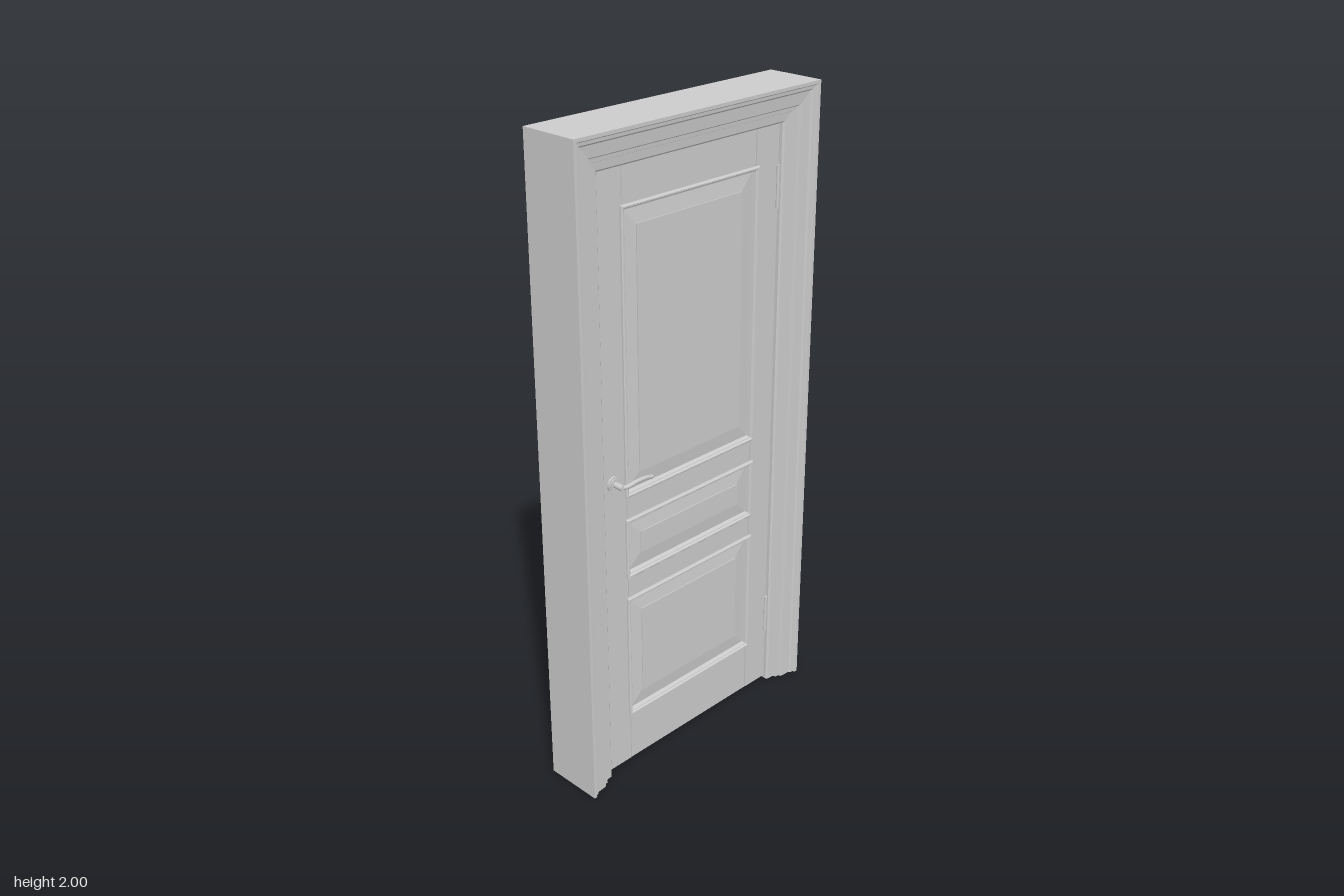
import * as THREE from 'three';

const grey = new THREE.MeshStandardMaterial({ color: 0xcccccc });
const greyDouble = new THREE.MeshStandardMaterial({ color: 0xcccccc, side: THREE.DoubleSide });
const HALF_W = 0.465, HEIGHT = 2;
const DOOR_X = 0.0125, DOOR_T = 0.055; // leaf centre and thickness

// Mitred sweep: cornersAt(u) gives the [z, y] corners inset by u; profile is [u, x] points
function mitredSweep(cornersAt, profile, closedPath) {
  const rows = profile.map(([u, x]) => cornersAt(u).map(([z, y]) => [x, y, z]));
  const pos = [];
  const n = rows[0].length, segs = closedPath ? n : n - 1;
  for (let j = 0; j < rows.length - 1; j++) {
    for (let i = 0; i < segs; i++) {
      const k = (i + 1) % n;
      const a = rows[j][i], b = rows[j][k], c = rows[j + 1][k], d = rows[j + 1][i];
      pos.push(...a, ...d, ...c, ...a, ...c, ...b);
    }
  }
  const g = new THREE.BufferGeometry();
  g.setAttribute('position', new THREE.Float32BufferAttribute(pos, 3));
  g.computeVertexNormals();
  return g;
}

function add(parent, name, geometry, x = 0, y = 0, z = 0, material = grey) {
  const m = new THREE.Mesh(geometry, material);
  m.name = name;
  m.position.set(x, y, z);
  parent.add(m);
  return m;
}

// Box given by its y and z ranges, centred on the leaf
function slab(parent, name, t, y0, y1, z0, z1) {
  return add(parent, name, new THREE.BoxGeometry(t, y1 - y0, z1 - z0), DOOR_X, (y0 + y1) / 2, (z0 + z1) / 2);
}

function buildFrame() {
  const frame = new THREE.Group();
  frame.name = 'doorFrame';
  // Stepped architrave, the same on both faces, joined by the jamb lining
  const half = [[0, 0.094], [0.01, 0.094], [0.014, 0.087], [0.023, 0.086], [0.028, 0.08],
    [0.062, 0.077], [0.067, 0.068], [0.078, 0.067], [0.082, 0.057], [0.105, 0.055], [0.11, 0.05]];
  const back = half.map(([u, x]) => [u, -x]).reverse();
  const profile = [...half, ...back, half[0]];
  const corners = (u) => {
    const z = HALF_W - u, y = HEIGHT - u;
    return [[z, 0], [z, y], [-z, y], [-z, 0]];
  };
  add(frame, 'architraveAndJamb', mitredSweep(corners, profile, false));

  // Feet of the two jambs
  const shape = new THREE.Shape(profile.slice(0, -1).map(([u, x]) => new THREE.Vector2(u, x)));
  for (const s of [1, -1]) {
    const g = new THREE.ShapeGeometry(shape);
    const p = g.attributes.position;
    for (let i = 0; i < p.count; i++) p.setXYZ(i, p.getY(i), 0, s * (HALF_W - p.getX(i)));
    g.computeVertexNormals();
    add(frame, 'jambFoot', g, 0, 0, 0, greyDouble);
  }
  return frame;
}

function buildPanel(y0, y1) {
  const panel = new THREE.Group();
  panel.name = 'doorPanel';
  const f = DOOR_T / 2, w = 0.268;
  // Raised bolection moulding, then a shallow slope up to the field
  const profile = [[0, f - 0.004], [0, f + 0.006], [0.003, f + 0.009], [0.007, f + 0.009], [0.01, f + 0.004],
    [0.013, f + 0.003], [0.016, f - 0.009], [0.062, f - 0.004], [0.062, f - 0.001]];
  const corners = (u) => [[w - u, y0 + u], [w - u, y1 - u], [u - w, y1 - u], [u - w, y0 + u]];
  for (const s of [1, -1]) {
    const m = add(panel, 'panelMoulding', mitredSweep(corners, profile, true), DOOR_X);
    if (s < 0) m.rotation.y = Math.PI;
  }
  slab(panel, 'panelField', DOOR_T - 0.002, y0 + 0.062, y1 - 0.062, -0.206, 0.206);
  return panel;
}

function buildLeaf() {
  const leaf = new THREE.Group();
  leaf.name = 'doorLeaf';
  for (const s of [1, -1]) {
    slab(leaf, 'stile', DOOR_T, 0.01, 1.888, Math.min(s * 0.262, s * 0.354), Math.max(s * 0.262, s * 0.354));
  }
  // Rails sit a hair behind the stiles, with a fine groove at the joint
  for (const [y0, y1] of [[0.01, 0.185], [0.58, 0.672], [0.845, 0.937], [1.77, 1.888]]) {
    slab(leaf, 'rail', DOOR_T - 0.002, y0, y1, -0.258, 0.258);
    slab(leaf, 'railTongue', DOOR_T - 0.01, y0, y1, -0.263, 0.263);
  }
  for (const [y0, y1] of [[0.175, 0.592], [0.662, 0.855], [0.927, 1.782]]) leaf.add(buildPanel(y0, y1));
  return leaf;
}

// Lever handle on one face; s is the side
function buildHandle(s) {
  const handle = new THREE.Group();
  handle.name = 'leverHandle';
  const z = 0.312, y = 0.99;
  const rod = (name, r, x0, x1) => {
    const g = new THREE.CylinderGeometry(r, r, x1 - x0, 24);
    add(handle, name, g, s * (x0 + x1) / 2, y, z).rotation.z = Math.PI / 2;
  };
  rod('rosette', 0.023, 0, 0.007);
  rod('rosetteRim', 0.018, 0.007, 0.01);
  rod('neck', 0.009, 0.01, 0.042);
  const path = new THREE.CatmullRomCurve3([[0.036, 0, 0], [0.043, 0.001, -0.015], [0.044, 0.005, -0.05],
    [0.043, 0.003, -0.085], [0.04, -0.004, -0.112]].map(([a, b, c]) => new THREE.Vector3(s * a, y + b, z + c)));
  add(handle, 'lever', new THREE.TubeGeometry(path, 24, 0.0065, 10));
  for (const t of [0, 1]) {
    const p = path.getPoint(t);
    add(handle, 'leverEnd', new THREE.SphereGeometry(0.0065, 10, 8), p.x, p.y, p.z);
  }
  handle.position.x = DOOR_X + s * DOOR_T / 2;
  return handle;
}

export function createModel() {
  const model = new THREE.Group();
  model.name = 'panelledDoor';
  model.add(buildFrame(), buildLeaf(), buildHandle(1), buildHandle(-1));
  // Hinge knuckles on the edge away from the handle
  for (const y of [0.26, 1.705]) {
    add(model, 'hinge', new THREE.CylinderGeometry(0.005, 0.005, 0.13, 12), DOOR_X + DOOR_T / 2 + 0.003, y, -0.351);
  }
  return model;
}
